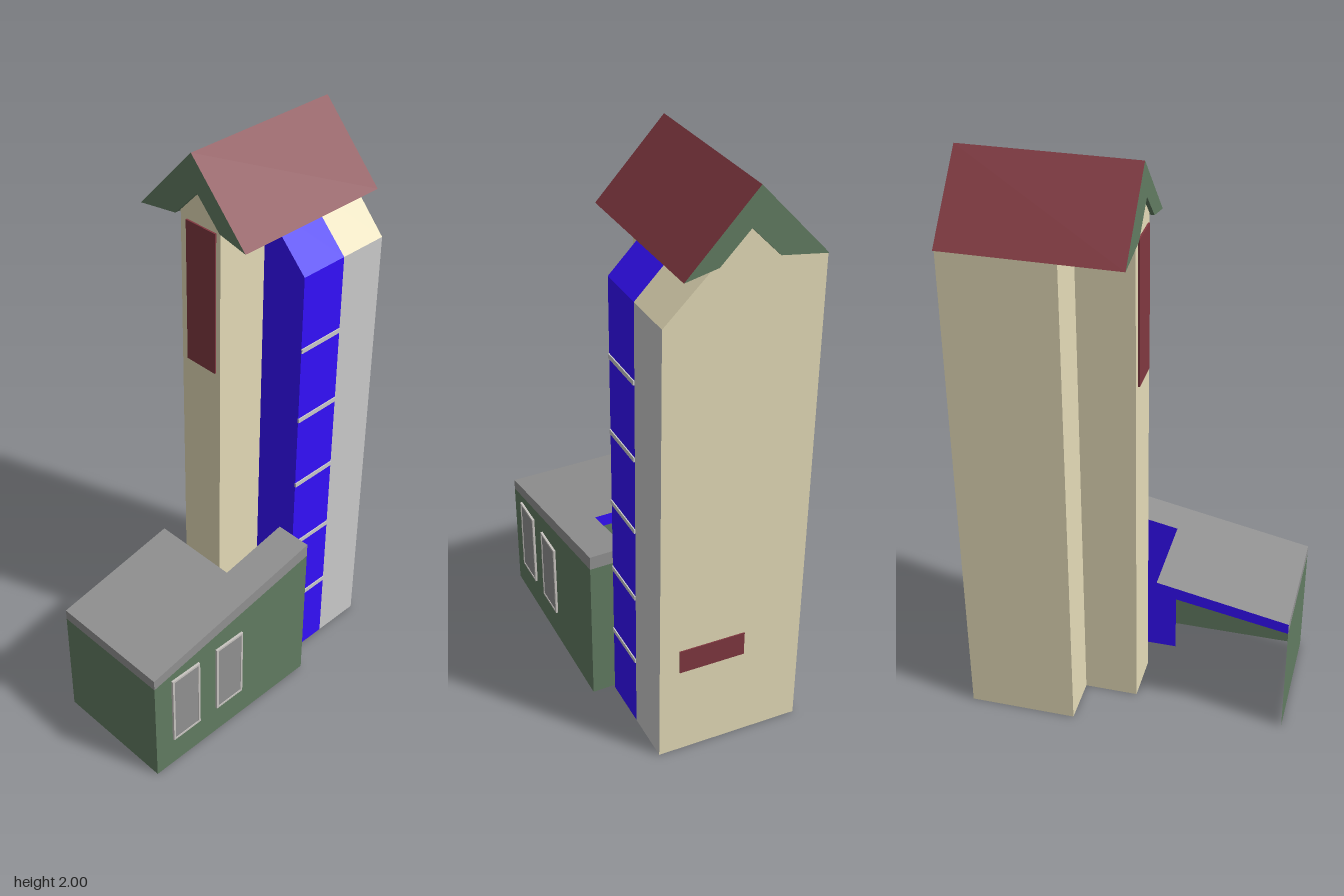
import * as THREE from 'three';

const mat = (color) => new THREE.MeshStandardMaterial({ color, side: THREE.DoubleSide, flatShading: true });
const TAN = mat(0xe5dcb8), BLUE = mat(0x3410fc), GREEN = mat(0x627c62), RED = mat(0x803840);
const GREY = mat(0xcccccc), SLATE = mat(0x929292), TRIM = mat(0xc8c4c0);

export function createModel() {
  const root = new THREE.Group();
  root.name = 'towerHouse';
  const tower = new THREE.Group(), annex = new THREE.Group();
  tower.name = 'tower';
  annex.name = 'annex';
  root.add(tower, annex);

  const add = (parent, name, geometry, material) => {
    const mesh = new THREE.Mesh(geometry, material);
    mesh.name = name;
    parent.add(mesh);
    return mesh;
  };

  // Ribbon of quads between two rows of points
  const ribbon = (parent, name, material, low, high) => {
    const pos = [], index = [];
    low.forEach((p, i) => {
      pos.push(...p, ...high[i]);
      const k = i * 2;
      if (i) index.push(k - 2, k, k - 1, k, k + 1, k - 1);
    });
    const g = new THREE.BufferGeometry();
    g.setAttribute('position', new THREE.Float32BufferAttribute(pos, 3));
    g.setIndex(index);
    const flat = g.toNonIndexed();
    flat.computeVertexNormals();
    return add(parent, name, flat, material);
  };

  // Vertical wall through plan points [x, z], between two height rules
  const wall = (parent, name, material, plan, top, bottom = () => 0) =>
    ribbon(parent, name, material,
      plan.map(([x, z]) => [x, bottom(x, z), z]), plan.map(([x, z]) => [x, top(x, z), z]));

  const box = (parent, name, material, size, at) =>
    add(parent, name, new THREE.BoxGeometry(...size), material).position.set(...at);

  // ---- Tower: height of the walls follows the roof underside
  const peakZ = -0.045, frontZ = 0.209, backZ = -0.295;
  const wallTop = (x, z) => z > peakZ ? 1.88 - (z - peakZ) * 1.02
    : z > -0.14 ? 1.88 - (peakZ - z) * 1.05
    : 1.78 - (-0.14 - z) * 0.16;
  const rightX = (z) => 0.523 + (frontZ - z) * 0.037;

  wall(tower, 'sideWall', TAN,
    [frontZ, peakZ, -0.14, backZ].map((z) => [rightX(z), z]), wallTop);
  wall(tower, 'backWall', TAN, [[rightX(backZ), backZ], [0.168, backZ]], wallTop);
  wall(tower, 'backStepWall', TAN, [[0.168, backZ], [0.168, -0.14], [0.168, -0.13]], wallTop);
  wall(tower, 'wingBackWall', TAN, [[0.168, -0.13], [-0.02, -0.13]], wallTop);
  wall(tower, 'wingSideWall', TAN, [[-0.02, -0.13], [-0.02, peakZ], [-0.02, 0.04]], wallTop);
  wall(tower, 'wingFrontWall', TAN, [[-0.02, 0.04], [0.168, 0.04]], wallTop);
  wall(tower, 'glazedSide', BLUE, [[0.168, 0.04], [0.168, frontZ]], wallTop);
  wall(tower, 'glazedFront', BLUE, [[0.168, frontZ], [0.345, frontZ]], wallTop);
  wall(tower, 'greyFront', GREY, [[0.345, frontZ], [0.523, frontZ]], wallTop);

  // Sloped tops of the front bay
  const slope = (name, material, x0, x1) => ribbon(tower, name, material,
    [[x0, wallTop(0, frontZ), frontZ], [x1(frontZ), wallTop(0, frontZ), frontZ]],
    [[x0, wallTop(0, 0.03), 0.03], [x1(0.03), wallTop(0, 0.03), 0.03]]);
  slope('glazedSlope', BLUE, 0.168, () => 0.345);
  slope('plainSlope', TAN, 0.345, rightX);

  // Bars across the glazing
  for (let i = 1; i <= 5; i++)
    box(tower, 'glazingBar', GREY, [0.177, 0.016, 0.006], [0.2565, 0.271 * i, frontZ + 0.001]);

  // Dark panels on both sides
  const sign = add(tower, 'sidePanel', new THREE.BoxGeometry(0.008, 0.09, 0.23), RED);
  sign.position.set(rightX(0.025), 0.39, 0.025);
  sign.rotation.y = -0.037;
  box(tower, 'wingWindow', RED, [0.01, 0.5, 0.125], [-0.021, 1.52, -0.04]);

  // ---- Roof: chevron section carried from end to end
  const x0 = -0.033, x1 = 0.547;
  const outer = [[0.157, 1.76], [-0.069, 2], [-0.295, 1.755]];
  const inner = [[0.05, 1.783], [peakZ, 1.88], [-0.14, 1.78]];
  const line = (x, pts) => pts.map(([z, y]) => [x, y, z]);
  ribbon(tower, 'roofTiles', RED, line(x0, outer), line(x1, outer));
  const under = [outer[0], ...inner, outer[2]];
  ribbon(tower, 'roofUnderside', GREEN, line(x0, under), line(x1, under));
  const section = new THREE.Shape([...outer, ...inner.slice().reverse()].map(([z, y]) => new THREE.Vector2(-z, y)));
  for (const x of [x0, x1]) {
    const gable = add(tower, 'roofGable', new THREE.ShapeGeometry(section), GREEN);
    gable.rotation.y = Math.PI / 2;
    gable.position.x = x;
  }

  // ---- Annex: L-shaped plan under a single sloping roof
  const L = -0.551, R = 0.158, F = 0.287, B = -0.158, NX = -0.098, NZ = 0.156;
  const roofY = (x) => 0.459 + (x - L) * 0.2;
  const eaveY = (x) => 0.42 + (x - L) * 0.184;

  wall(annex, 'frontWall', GREEN, [[L, F], [R, F]], eaveY);
  wall(annex, 'outerWall', GREEN, [[L, B], [L, F]], eaveY);
  wall(annex, 'endWall', GREEN, [[R, F], [R, NZ]], eaveY);
  wall(annex, 'innerWall', BLUE, [[NX, NZ], [R, NZ]], eaveY);
  wall(annex, 'greyFascia', SLATE, [[L, B], [L, F], [R, F], [R, NZ]], roofY, eaveY);
  wall(annex, 'blueFascia', BLUE, [[L, B], [NX, B], [NX, NZ], [R, NZ]], roofY, eaveY);

  // Roof sheet, tilted by lifting its vertices
  const plan = [[L, F], [R, F], [R, NZ], [NX, NZ], [NX, B], [L, B]];
  const sheet = new THREE.ShapeGeometry(new THREE.Shape(plan.map(([x, z]) => new THREE.Vector2(x, -z))));
  sheet.rotateX(-Math.PI / 2);
  const p = sheet.attributes.position;
  for (let i = 0; i < p.count; i++) p.setY(i, roofY(p.getX(i)));
  sheet.computeVertexNormals();
  add(annex, 'annexRoof', sheet, SLATE);

  // Windows: pane inside a thin frame
  for (const x of [-0.417, -0.217]) {
    box(annex, 'windowPane', SLATE, [0.11, 0.275, 0.008], [x, 0.263, F + 0.002]);
    for (const s of [-1, 1]) {
      box(annex, 'windowFrame', TRIM, [0.008, 0.285, 0.014], [x + s * 0.057, 0.263, F + 0.001]);
      box(annex, 'windowFrame', TRIM, [0.122, 0.008, 0.014], [x, 0.263 + s * 0.139, F + 0.001]);
    }
  }

  // The whole building stands slightly turned
  root.rotation.y = -0.012;
  return root;
}
